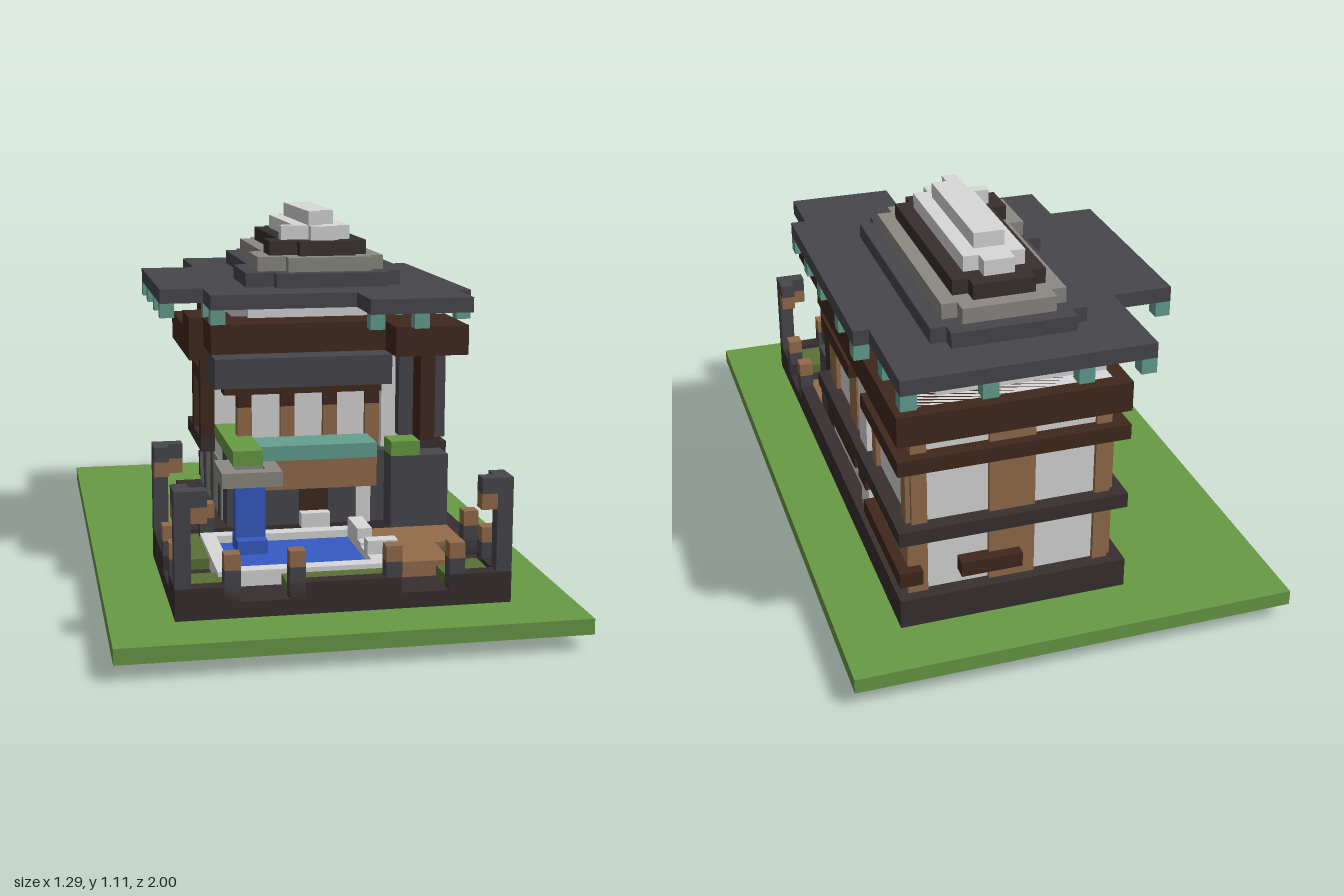
import * as THREE from 'three';

const U = 2 / 45; // one block

const mat = (name, color) => Object.assign(new THREE.MeshStandardMaterial({ color }), { name });
const grass = mat('grass green', 0x689a45), olive = mat('olive soil', 0x5b7036);
const slate = mat('slate', 0x47464c), dark = mat('dark stone', 0x382f30);
const brown = mat('dark wood', 0x40281c), wood = mat('light wood', 0x936c4a);
const gray = mat('gray stone', 0x8a8983), light = mat('pale plaster', 0xd8d8d8);
const blue = mat('water blue', 0x365bc4), teal = mat('teal', 0x64a090);

export function createModel() {
  const root = new THREE.Group();
  root.name = 'courtyardHouse';
  let group = root;
  const section = (name) => {
    group = new THREE.Group();
    group.name = name;
    root.add(group);
  };
  // block from corner to corner, counted in blocks from left, ground and back
  const box = (name, m, x0, x1, y0, y1, z0, z1) => {
    const mesh = new THREE.Mesh(new THREE.BoxGeometry((x1 - x0) * U, (y1 - y0) * U, (z1 - z0) * U), m);
    mesh.position.set(((x0 + x1) / 2 - 14.5) * U, ((y0 + y1) / 2) * U, ((z0 + z1) / 2 - 22.5) * U);
    mesh.name = name;
    group.add(mesh);
  };

  // Ground, sunken basin and the footings seen from beneath
  section('ground');
  box('lawn', grass, 0, 29, 1, 2, 0, 45);
  box('poolBasin', teal, 8, 17, 0, 1, 30, 37);
  box('basinRim', teal, 7, 18, 0.97, 1, 29, 38);
  for (const [x0, x1, z0, z1] of [
    [10, 25, 4, 5], [24, 25, 5, 27], [10, 11, 5, 15], [7, 10, 14, 15], [7, 8, 15, 27], [23, 24, 14, 16],
    [4, 7, 27, 38], [18, 25, 27, 29], [22, 25, 29, 38], [4, 25, 38, 41],
  ]) box('footing', wood, x0, x1, 0.97, 1, z0, z1);
  for (const [x0, x1, z0, z1] of [[8, 11, 40, 41], [18, 21, 40, 41], [24, 25, 34, 37], [4, 5, 34, 37]])
    box('footingSlot', dark, x0, x1, 0.94, 0.97, z0, z1);

  // House base, walls and beams
  section('house');
  box('backBase', dark, 10, 25, 2, 4, 4, 14);
  box('middleBase', dark, 7, 25, 2, 4, 14, 24);
  box('frontBase', dark, 8, 25, 2, 4, 24, 28);
  box('backWalls', light, 11, 24, 4, 17, 5, 14);
  box('lowerWalls', light, 9, 24, 4, 9, 14, 26);
  box('middleWalls', light, 9, 24, 9, 17, 14, 22);
  box('frontWalls', light, 11, 24, 9, 17, 22, 26);
  box('backBand', dark, 10, 25, 8, 9, 4, 14);
  box('rightBand', dark, 23, 25, 8, 9, 14, 26);
  box('leftBand', dark, 8, 9, 8, 9, 14, 22);
  box('backBeam', brown, 10, 25, 15, 17, 4, 14);
  box('middleBeam', brown, 7, 25, 15, 17, 13, 24);
  box('rightBeam', brown, 20, 25, 15, 17, 24, 25);
  box('leftBeamTop', brown, 7, 9, 17, 18, 20, 24);
  box('frontBeam', brown, 8, 20, 16, 18, 24, 28);
  box('porchBeam', brown, 20, 25, 16, 18, 25, 31);

  // Right side window, with posts, lintel and lower panels
  section('rightWindow');
  for (const z of [17, 23]) box('windowPost', wood, 23.5, 24.3, 9, 13, z, z + 2);
  box('windowShade', brown, 23.5, 24.3, 12.6, 13, 19, 23);
  box('lintel', brown, 23.5, 24.8, 13, 14, 17, 25);
  box('lowerPanel', brown, 23.5, 24.6, 6, 8, 17, 25);
  box('smallPanel', brown, 23.5, 24.6, 6, 8, 14, 16);
  box('wallRib', light, 23.5, 24.4, 4, 15, 14, 16);

  // Left side: timber panel, posts and stone lower wall
  section('leftSide');
  box('timberPanel', wood, 8.8, 9.2, 9, 15, 14, 17);
  for (const z of [17, 21]) box('leftPost', brown, 8, 9, 9, 16, z, z + 1);
  box('leftLintel', brown, 8, 9, 13, 14, 17, 22);
  box('lowerPanel', gray, 8.9, 9.2, 4, 8, 14, 26);
  for (const z of [17, 21, 25]) box('lowerPost', slate, 8.8, 9.2, 4, 8, z, z + 1);

  // Rear block: corner posts, lintels, ledges and planters
  section('rearWindows');
  for (const [x0, x1] of [[23.5, 24.3], [10.7, 11.5]]) {
    box('windowPost', wood, x0, x1, 9, 13, 5, 6);
    box('windowPost', wood, x0, x1, 9, 13, 12, 13);
    box('windowShade', brown, x0, x1, 12.6, 13, 6, 12);
  }
  box('rightLintel', brown, 23.5, 25, 13, 14, 4, 13);
  box('leftLintel', brown, 10, 11.5, 13, 14, 4, 13);
  box('backLintel', brown, 11, 24, 13, 14, 4, 5.5);
  box('rightLowerWall', wood, 23.5, 24.3, 4, 8, 4.7, 13);
  box('rightLedge', brown, 23.5, 25, 5, 6, 4, 13);
  box('leftPlanter', brown, 10, 11.5, 5, 6, 7, 11);
  box('backPlanter', brown, 17, 21, 5, 6, 4, 5.5);
  for (const [x0, x1] of [[11, 12], [16, 19], [23, 24]]) box('backPost', wood, x0, x1, 4, 15, 4.7, 5.5);
  for (const z of [5, 12]) box('leftCornerPost', wood, 10.7, 11.5, 4, 9, z, z + 1);

  // Front: upper gallery windows, awning, balcony and door
  section('front');
  box('lowerFrontWall', slate, 9, 22, 4, 9, 26, 28);
  box('doorPanel', brown, 14, 16, 5, 7, 27.5, 28.2);
  box('doorStep', light, 14, 16, 4, 5, 28, 29);
  box('sidePanel', light, 18, 19, 4, 7, 27.5, 28.2);
  box('balconyFront', wood, 11, 19, 7, 9, 28, 30);
  box('balconyTop', teal, 11, 19, 9, 10, 27, 30);
  for (const x of [10, 13, 16, 19]) {
    box('galleryPost', wood, x, x + 1, 9, 12, 25.5, 26.4);
    box('galleryPostTop', brown, x, x + 1, 12, 13, 25.5, 26.4);
  }
  box('galleryLintel', brown, 9, 20, 13, 14, 25.5, 27);
  box('awning', slate, 8, 20, 14, 16, 26, 30);
  box('leftHedge', grass, 9, 11, 9, 10, 22, 31);
  box('rightPlant', grass, 20, 22, 9, 10, 28, 30);

  // Corner porch pillars
  section('porch');
  box('porchCore', dark, 22, 24, 4, 16, 26, 28);
  box('porchInnerWall', light, 20, 21, 9, 16, 26, 27);
  box('pillarFoot', slate, 20, 24, 4, 9, 28, 30);
  box('pillar', slate, 21, 22, 10, 16, 27, 28);
  box('pillar', brown, 22, 23, 10, 16, 28, 30);
  box('pillar', slate, 23, 24, 10, 16, 28, 29);

  // Main roof slab, hanging lanterns and stepped crown
  section('roof');
  box('roofBand', light, 11, 22, 17, 19, 6, 25);
  box('roofBack', slate, 9, 25, 19, 20, 3, 10);
  box('roofMiddle', slate, 5, 26, 19, 20, 10, 24);
  box('roofFront', slate, 8, 26, 19, 20, 24, 28);
  box('roofPorch', slate, 18, 25, 19, 20, 28, 32);
  for (const [x, z] of [
    [25, 10], [25, 14], [25, 19], [25, 23], [25, 27], [24, 3], [24, 7], [21, 31], [18, 31], [19, 3], [13, 3],
    [9, 3], [9, 7], [5, 10], [5, 14], [5, 19], [5, 23], [8, 23], [8, 27],
  ]) box('roofLantern', teal, x, x + 1, 18, 19, z, z + 1);
  [slate, gray, dark, light].forEach((m, n) => {
    const x0 = 12 + n, x1 = 22 - n, y = 20 + n, z0 = 6 + n, z1 = 25 - n;
    box('crownTier', m, x0 + 1, x1 - 1, y, y + 1, z0, z1);
    box('crownTierSides', m, x0, x1, y, y + 1, z0 + 1, z1 - 1);
    box('crownBump', m, x0 - 1, x0, y, y + 1, 18 + n * 0.7, 24 - n);
  });
  box('crownRidge', light, 16, 18, 24, 25, 11, 20);
  box('crownRidgeEnd', light, 16, 17, 24, 25, 20, 21);

  // Walled courtyard
  section('courtyard');
  box('yardBase', dark, 4, 25, 2, 3, 27, 41);
  for (const [x0, x1] of [[4, 8], [11, 18], [21, 25]]) {
    box('frontWall', dark, x0, x1, 3, 4, 40, 41);
    box('frontBed', olive, Math.max(x0, 5), Math.min(x1, 24), 3, 3.7, 38, 40);
  }
  for (const [x, bed0, bed1] of [[4, 5, 7], [24, 22, 24]])
    for (const [z0, z1, bedStart] of [[27, 34, 28], [37, 40, 37]]) {
      box('sideWall', dark, x, x + 1, 3, 4, z0, z1);
      box('sideBed', olive, bed0, bed1, 3, 3.7, bedStart, z1);
    }
  box('rearWall', dark, 4, 8, 3, 4, 27, 28);
  box('deck', wood, 18, 22, 3, 4, 30, 38);
  box('deckCorner', wood, 22, 24, 3, 4, 30, 34);
  // short lantern posts beside the wall openings
  for (const [x, z] of [[7, 40], [11, 40], [17, 40], [21, 40], [4, 33], [4, 37], [24, 33], [24, 37], [7, 28]]) {
    box('shortPost', slate, x, x + 1, 3, 5, z, z + 1);
    box('shortPostLamp', wood, x, x + 1, 5, 6, z, z + 1);
  }
  // tall corner posts with bracket arms and hanging lamps
  for (const [x, z, dx, dz] of [[4, 40, 1, -1], [24, 40, -1, -1], [4, 27, 1, 1]]) {
    box('tallPost', slate, x, x + 1, 4, 10, z, z + 1);
    box('postArm', slate, x + dx, x + dx + 1, 9, 10, z, z + 1);
    box('postArm', slate, x, x + 1, 9, 10, z + dz, z + dz + 1);
    box('hangingLamp', wood, x + dx, x + dx + 1, 8, 9, z, z + 1);
    box('hangingLamp', wood, x, x + 1, 8, 9, z + dz, z + dz + 1);
  }

  // Pool with steps, spout and waterfall
  section('pool');
  box('poolWater', blue, 8, 17, 3, 3.5, 30, 37);
  for (const z of [29, 37]) box('poolRim', light, 7, 18, 3, 4, z, z + 1);
  for (const x of [7, 17]) box('poolRim', light, x, x + 1, 3, 4, 30, 37);
  box('poolLedge', light, 17, 18, 4, 4.9, 30, 33);
  box('poolStep', light, 17, 19, 4, 4.2, 33, 34);
  box('poolStep', light, 17, 19, 4, 4.9, 35, 36);
  box('waterfall', blue, 9, 11, 3.5, 8.6, 31, 32);
  box('splash', blue, 9, 11, 3.5, 4.4, 30.5, 33);
  box('spoutFront', gray, 8, 12, 8, 9, 32, 33);
  box('spoutBack', gray, 8, 12, 8, 9, 29, 31);
  for (const [x0, x1] of [[8, 9], [11, 12]]) box('spoutSide', gray, x0, x1, 8, 9, 31, 32);

  return root;
}
